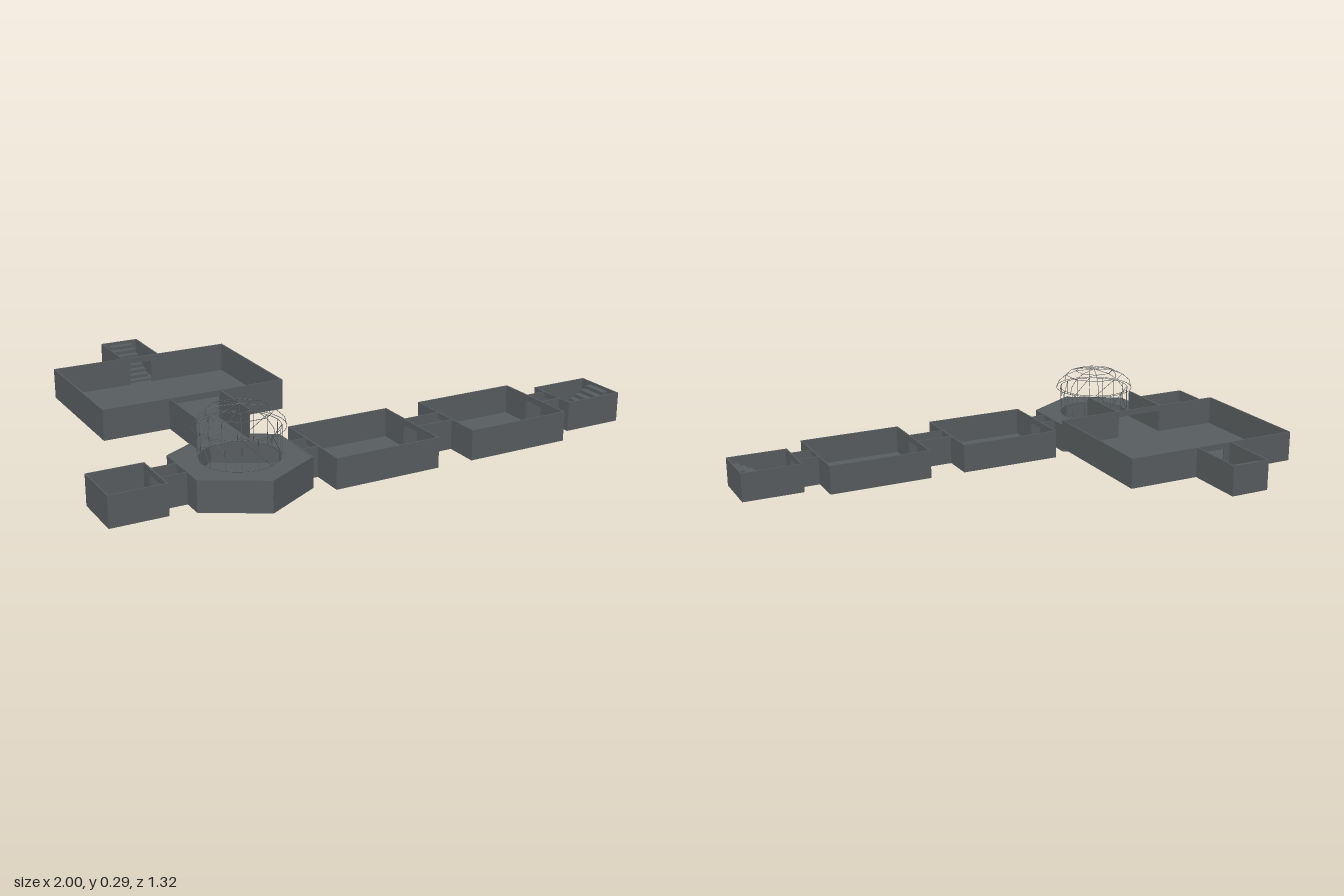
import * as THREE from 'three';

const stone = new THREE.MeshStandardMaterial({ color: 0x575c5e });
stone.name = 'grey stone';

const H = 0.11, T = 0.005, DOOR = 0.088;   // wall height, wall thickness, door height
const HUB = new THREE.Vector3(-0.508, 0, 0.423);

function add(parent, geo, name, x = 0, y = 0, z = 0) {
  const m = new THREE.Mesh(geo, stone);
  m.name = name;
  m.position.set(x, y, z);
  parent.add(m);
  return m;
}

// Straight wall from a to b ([x, z]); an optional door is centred at `door` along it
function wall(parent, a, b, y, door, doorWidth = 0.085) {
  const dx = b[0] - a[0], dz = b[1] - a[1], len = Math.hypot(dx, dz);
  const g = new THREE.Group();
  g.name = 'wall';
  g.position.set(a[0], y, a[1]);
  g.rotation.y = -Math.atan2(dz, dx);
  const piece = (s, e, y0, y1, name) =>
    add(g, new THREE.BoxGeometry(e - s, y1 - y0, T), name, (s + e) / 2, (y0 + y1) / 2, 0);
  if (door === undefined) piece(0, len, 0, H, 'wallPanel');
  else {
    const s = door - doorWidth / 2, e = door + doorWidth / 2;
    piece(0, s, 0, H, 'wallPanel');
    piece(e, len, 0, H, 'wallPanel');
    piece(s, e, DOOR, H, 'doorLintel');
  }
  parent.add(g);
}

// Roofless rectangular room; doors = positions by side, open = sides without a wall
function room(parent, name, x0, x1, z0, z1, y, doors = {}, open = '') {
  const g = new THREE.Group();
  g.name = name;
  add(g, new THREE.BoxGeometry(x1 - x0, T, z1 - z0), 'floor', (x0 + x1) / 2, y + T / 2, (z0 + z1) / 2);
  const i = T / 2;
  const sides = {
    n: [[x0, z0 + i], [x1, z0 + i], x0], s: [[x0, z1 - i], [x1, z1 - i], x0],
    w: [[x0 + i, z0], [x0 + i, z1], z0], e: [[x1 - i, z0], [x1 - i, z1], z0]
  };
  for (const [key, [a, b, start]] of Object.entries(sides)) {
    if (open.includes(key)) continue;
    const d = doors[key];
    wall(g, a, b, y, d && d[0] - start, d && d[1]);
  }
  parent.add(g);
}

// Flight of steps climbing along local +x
function stairs(parent, x, y, z, angle, length) {
  const g = new THREE.Group();
  g.name = 'stairs';
  const n = 8, run = length / n, rise = 0.1 / n;
  for (let i = 0; i < n; i++) {
    const h = rise * (i + 1);
    add(g, new THREE.BoxGeometry(run, h, 0.092), 'step', run * (i + 0.5), h / 2, 0);
  }
  g.position.set(x, y, z);
  g.rotation.y = angle;
  parent.add(g);
}

// Thin bar between two points
function bar(parent, a, b, name) {
  const d = b.clone().sub(a);
  const m = add(parent, new THREE.CylinderGeometry(0.001, 0.001, d.length(), 6), name);
  m.position.copy(a).addScaledVector(d, 0.5);
  m.quaternion.setFromUnitVectors(new THREE.Vector3(0, 1, 0), d.normalize());
}

function hexPoints(r) {
  return Array.from({ length: 6 }, (_, i) => {
    const a = Math.PI / 2 + i * Math.PI / 3;
    return [r * Math.cos(a), r * Math.sin(a)];
  });
}

// Six-sided hall with a gallery deck around a round opening
function hub(parent) {
  const g = new THREE.Group();
  g.name = 'hexagonalHall';
  g.position.copy(HUB);
  const slab = (y, hole) => {
    const shape = new THREE.Shape(hexPoints(0.238).map(p => new THREE.Vector2(...p)));
    if (hole) shape.holes.push(new THREE.Path().absarc(0, 0, hole, 0, Math.PI * 2, true));
    const geo = new THREE.ExtrudeGeometry(shape, { depth: T, bevelEnabled: false, curveSegments: 16 });
    geo.rotateX(-Math.PI / 2);
    add(g, geo, hole ? 'galleryDeck' : 'floor', 0, y, 0);
  };
  slab(0);
  slab(H - T - 0.001, 0.135);
  const p = hexPoints(0.236);
  p.forEach((a, i) => {
    const hasDoor = i === 1 || i === 4;   // west and east sides
    wall(g, a, p[(i + 1) % 6], 0, hasDoor ? 0.118 : undefined);
  });
  parent.add(g);
}

// Barred drum with cross braces under an eight-ribbed dome
function cage(parent) {
  const g = new THREE.Group();
  g.name = 'domedCage';
  g.position.copy(HUB);
  const N = 8;
  const pt = (r, y, i) => {
    const a = (i + 0.5) * Math.PI * 2 / N;
    return new THREE.Vector3(r * Math.cos(a), y, r * Math.sin(a));
  };
  const ring = (r, y, name) => {
    const m = add(g, new THREE.TorusGeometry(r, 0.001, 6, 32), name, 0, y, 0);
    m.rotation.x = Math.PI / 2;
  };
  const drum = 0.138, y0 = H, y1 = 0.214;
  ring(drum, y0, 'lowerRing');
  ring(drum, y1, 'upperRing');
  ring(0.153, y1, 'domeRim');
  const dome = [[0.153, y1], [0.146, 0.241], [0.117, 0.267], [0.075, 0.283], [0, 0.29]];
  for (let i = 0; i < N; i++) {
    bar(g, pt(drum, y0, i), pt(drum, y1, i), 'upright');
    bar(g, pt(drum, y0, i + 0.5), pt(drum, y1, i + 0.5), 'upright');
    bar(g, pt(drum, y0, i), pt(drum, y1, i + 1), 'brace');
    for (let k = 0; k < 4; k++) bar(g, pt(...dome[k], i), pt(...dome[k + 1], i), 'domeRib');
    for (const k of [2, 3]) bar(g, pt(...dome[k], i), pt(...dome[k], i + 1), 'domeHoop');
  }
  parent.add(g);
}

export function createModel() {
  const model = new THREE.Group();
  model.name = 'undergroundComplex';
  const d = [0.423];

  // Lower level, west to east
  room(model, 'westCell', -1, -0.8, 0.323, 0.523, 0, { e: d });
  hub(model);
  room(model, 'firstChamber', -0.243, 0.155, 0.254, 0.593, 0, { w: d, e: d });
  room(model, 'secondChamber', 0.292, 0.691, 0.254, 0.593, 0, { w: d, e: d });
  room(model, 'eastStairwell', 0.768, 1, 0.323, 0.523, 0, { w: d });
  stairs(model, 0.79, 0, 0.423, 0, 0.205);
  for (const [a, b] of [[-0.8, -0.713], [-0.304, -0.243], [0.155, 0.292], [0.691, 0.768]])
    room(model, 'passage', a, b, 0.378, 0.468, 0, {}, 'ew');

  // Upper level
  const up = 0.106;
  room(model, 'greatHall', -0.843, -0.168, -0.44, 0.07, up, { n: [-0.508], s: [-0.508, 0.185] });
  room(model, 'bridge', -0.604, -0.408, 0.07, 0.296, up, {}, 'ns');
  room(model, 'northStairwell', -0.58, -0.435, -0.662, -0.44, up, {}, 's');
  stairs(model, -0.508, up, -0.452, Math.PI / 2, 0.2);

  cage(model);
  return model;
}
